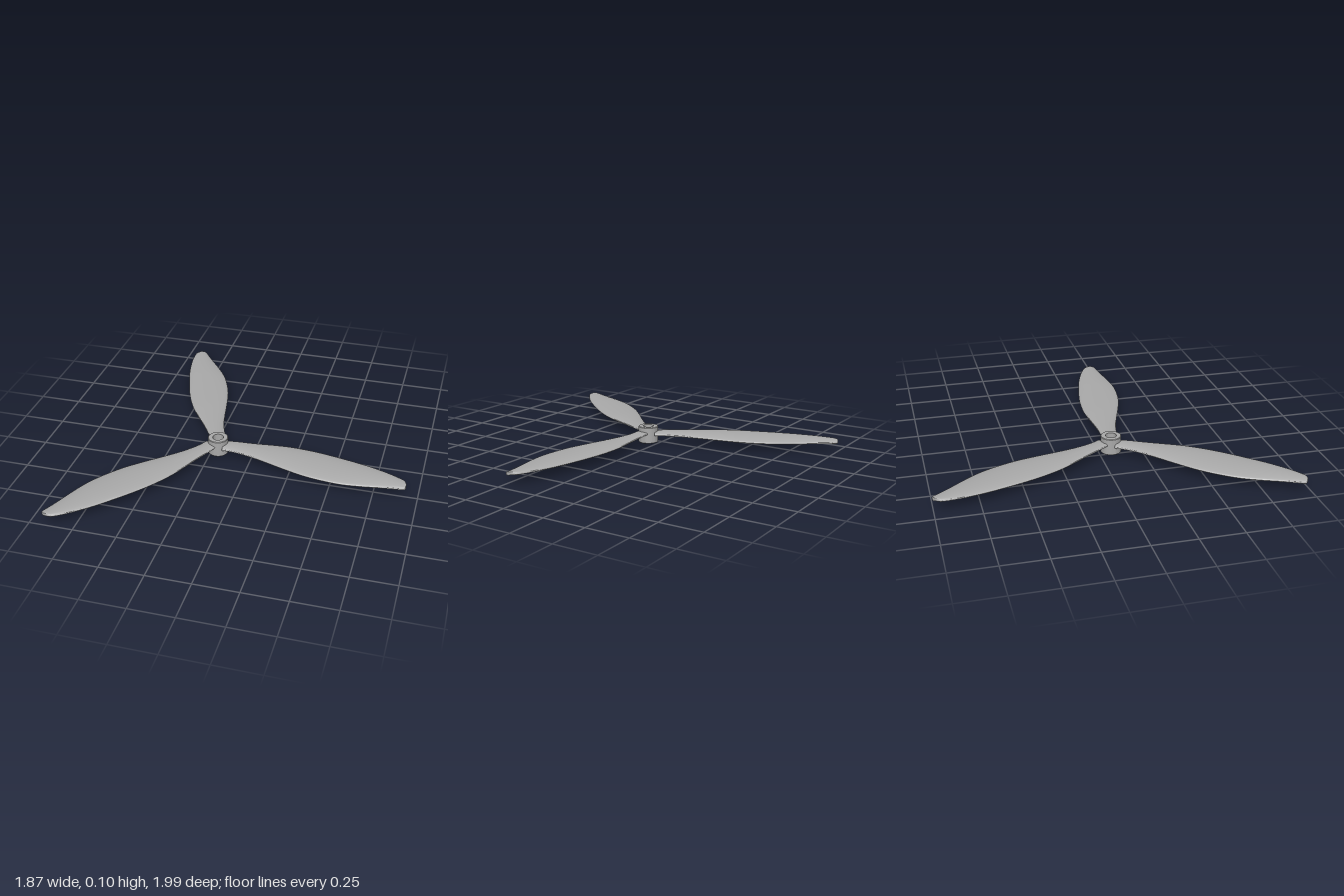
import * as THREE from 'three';
import { toCreasedNormals } from 'three/addons/utils/BufferGeometryUtils.js';

// Blade outline: [distance from hub axis, back edge z, front edge z]
const OUTLINE = [
  [0.04, -0.025, 0.066], [0.1, -0.033, 0.066], [0.21, -0.04, 0.087],
  [0.32, -0.051, 0.122], [0.42, -0.058, 0.157], [0.56, -0.05, 0.2],
  [0.69, -0.029, 0.222], [0.79, -0.007, 0.228], [0.9, 0.02, 0.218],
  [1.0, 0.053, 0.203], [1.06, 0.078, 0.195], [1.1, 0.098, 0.191],
  [1.125, 0.114, 0.188], [1.137, 0.137, 0.18], [1.14, 0.152, 0.168],
];
const SIDES = 28;

// Thin cambered blade lofted along +x from rounded cross-sections
function bladeGeometry() {
  const curve = new THREE.CatmullRomCurve3(
    OUTLINE.map(([r, a, b]) => new THREE.Vector3(r, a, b)), false, 'centripetal');
  const rows = (OUTLINE.length - 1) * 4;
  const positions = [], index = [];
  const softPower = (v, p) => Math.sign(v) * Math.abs(v) ** p;

  for (let i = 0; i <= rows; i++) {
    const s = curve.getPoint(i / rows);
    const mid = (s.y + s.z) / 2, half = (s.z - s.y) / 2;
    const camber = 0.009 * Math.min(1, half / 0.11);
    for (let j = 0; j < SIDES; j++) {
      const a = (j / SIDES) * Math.PI * 2;
      const u = softPower(Math.cos(a), 0.8);
      const y = 0.058 + camber * (1 - u * u) - 0.003 * u
        + 0.0095 * softPower(Math.sin(a), 0.6);
      positions.push(s.x, y, mid + half * u);
    }
  }
  for (let i = 0; i < rows; i++) {
    for (let j = 0; j < SIDES; j++) {
      const a = i * SIDES + j, b = i * SIDES + (j + 1) % SIDES;
      index.push(a, a + SIDES, b, b, a + SIDES, b + SIDES);
    }
  }
  // Root and tip caps
  const last = rows * SIDES;
  for (let j = 1; j < SIDES - 1; j++) {
    index.push(0, j, j + 1, last, last + j + 1, last + j);
  }
  const geometry = new THREE.BufferGeometry();
  geometry.setAttribute('position', new THREE.Float32BufferAttribute(positions, 3));
  geometry.setIndex(index);
  return toCreasedNormals(geometry, 0.7);
}

// Bored hub with slightly softened rims
function hubGeometry() {
  const profile = [
    [0.032, 0], [0.057, 0], [0.06, 0.003], [0.06, 0.097],
    [0.057, 0.1], [0.032, 0.1], [0.032, 0],
  ].map(([r, y]) => new THREE.Vector2(r, y));
  return toCreasedNormals(new THREE.LatheGeometry(profile, 48), 0.5);
}

export function createModel() {
  const grey = new THREE.MeshStandardMaterial({ color: 0xaaaaaa });
  grey.name = 'grey';

  const propeller = new THREE.Group();
  propeller.name = 'propeller';
  propeller.position.set(-0.21, 0, 0.074);

  const hub = new THREE.Mesh(hubGeometry(), grey);
  hub.name = 'hub';
  propeller.add(hub);

  // Three equal blades around the hub
  const geometry = bladeGeometry();
  for (let i = 0; i < 3; i++) {
    const blade = new THREE.Mesh(geometry, grey);
    blade.name = `blade${i + 1}`;
    blade.rotation.y = (i * Math.PI * 2) / 3;
    propeller.add(blade);
  }

  const model = new THREE.Group();
  model.name = 'model';
  model.add(propeller);
  return model;
}
